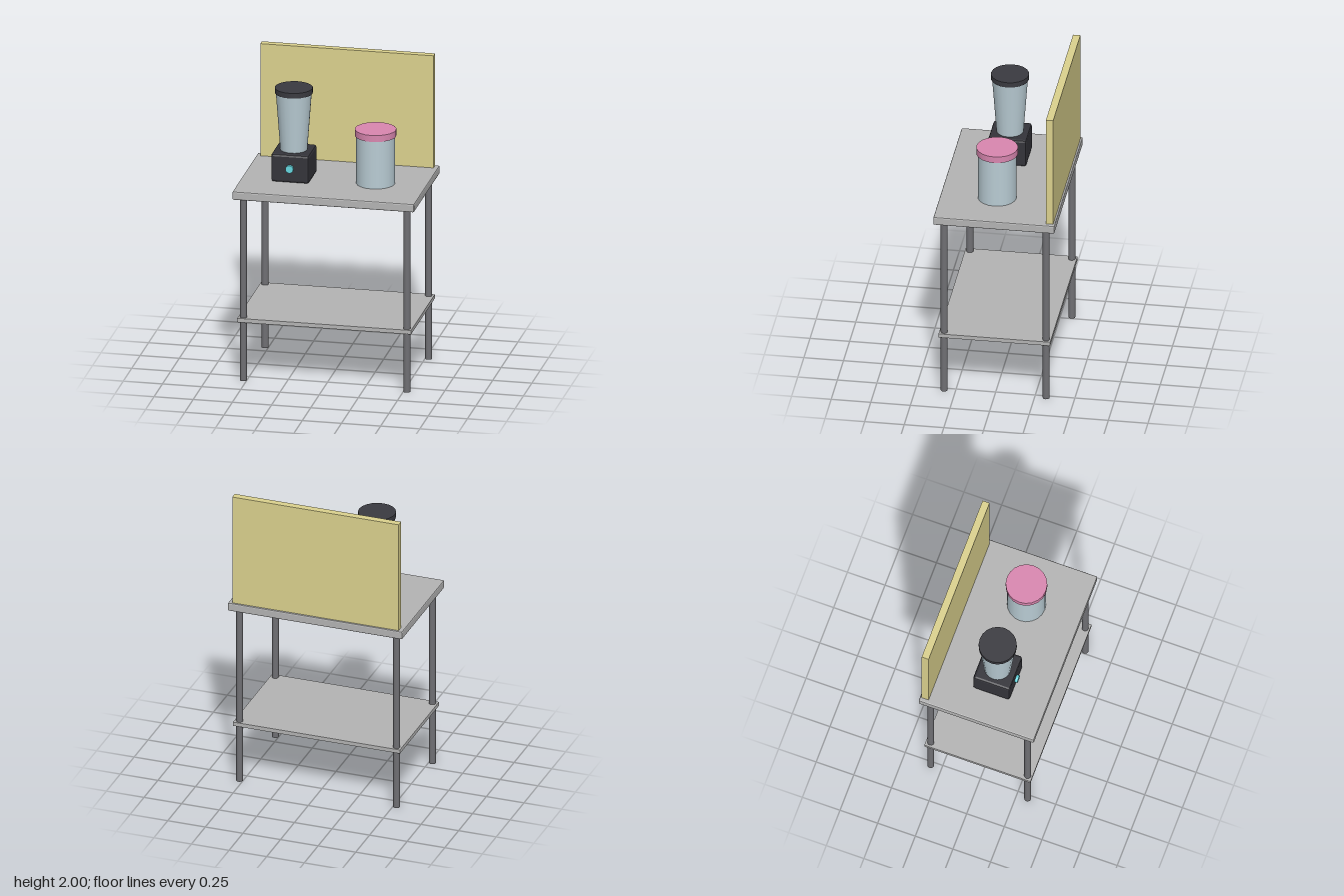
import * as THREE from 'three';
import { RoundedBoxGeometry } from 'three/addons/geometries/RoundedBoxGeometry.js';

const paint = (color, flatShading = false) => new THREE.MeshStandardMaterial({ color, flatShading });

export function createModel() {
  const group = new THREE.Group();
  const steel = paint(0xb4b4b4, true);
  const legMetal = paint(0x707074);
  const cream = paint(0xdcd28e, true);
  const black = paint(0x3a3a40);
  const blackFlat = paint(0x34343a, true);
  const glass = paint(0xb9ccd4);
  const pink = paint(0xd987b0);
  const cyan = paint(0x66d9e2);

  function add(name, geometry, material, x, y, z) {
    const mesh = new THREE.Mesh(geometry, material);
    mesh.name = name;
    mesh.position.set(x, y, z);
    group.add(mesh);
    return mesh;
  }

  // Upright cylinder given by its bottom and top heights
  function round(name, material, rTop, rBottom, y0, y1, x, z, sides = 20) {
    return add(name, new THREE.CylinderGeometry(rTop, rBottom, y1 - y0, sides), material, x, (y0 + y1) / 2, z);
  }

  // Table: bevelled top, lower shelf, four round legs
  add('tableTop', new RoundedBoxGeometry(1.16, 0.055, 0.765, 1, 0.008), steel, 0, 1.2325, 0);
  add('lowerShelf', new THREE.BoxGeometry(1.11, 0.026, 0.705), steel, 0, 0.403, 0);
  for (const x of [-0.522, 0.522]) {
    for (const z of [-0.322, 0.322]) round('leg', legMetal, 0.022, 0.022, 0, 1.21, x, z, 12);
  }

  // Plain sign board along the back edge
  add('signBoard', new THREE.BoxGeometry(1.106, 0.74, 0.046), cream, 0, 1.63, -0.348);

  // Blender: chamfered motor base, tapered jug, lid and front knob
  const bx = -0.263, z = 0.028;
  add('blenderBase', new RoundedBoxGeometry(0.242, 0.185, 0.242, 1, 0.015), blackFlat, bx, 1.3535, z);
  round('blenderJug', glass, 0.113, 0.085, 1.445, 1.822, bx, z);
  round('blenderLid', black, 0.119, 0.119, 1.818, 1.852, bx, z);
  const knob = add('blenderKnob', new THREE.CylinderGeometry(0.025, 0.025, 0.03, 16), cyan, bx, 1.356, 0.152);
  knob.rotation.x = Math.PI / 2;

  // Storage canister with an overhanging lid
  round('canister', glass, 0.122, 0.122, 1.26, 1.575, 0.259, z);
  round('canisterLid', pink, 0.13, 0.13, 1.573, 1.616, 0.259, z);

  return group;
}
